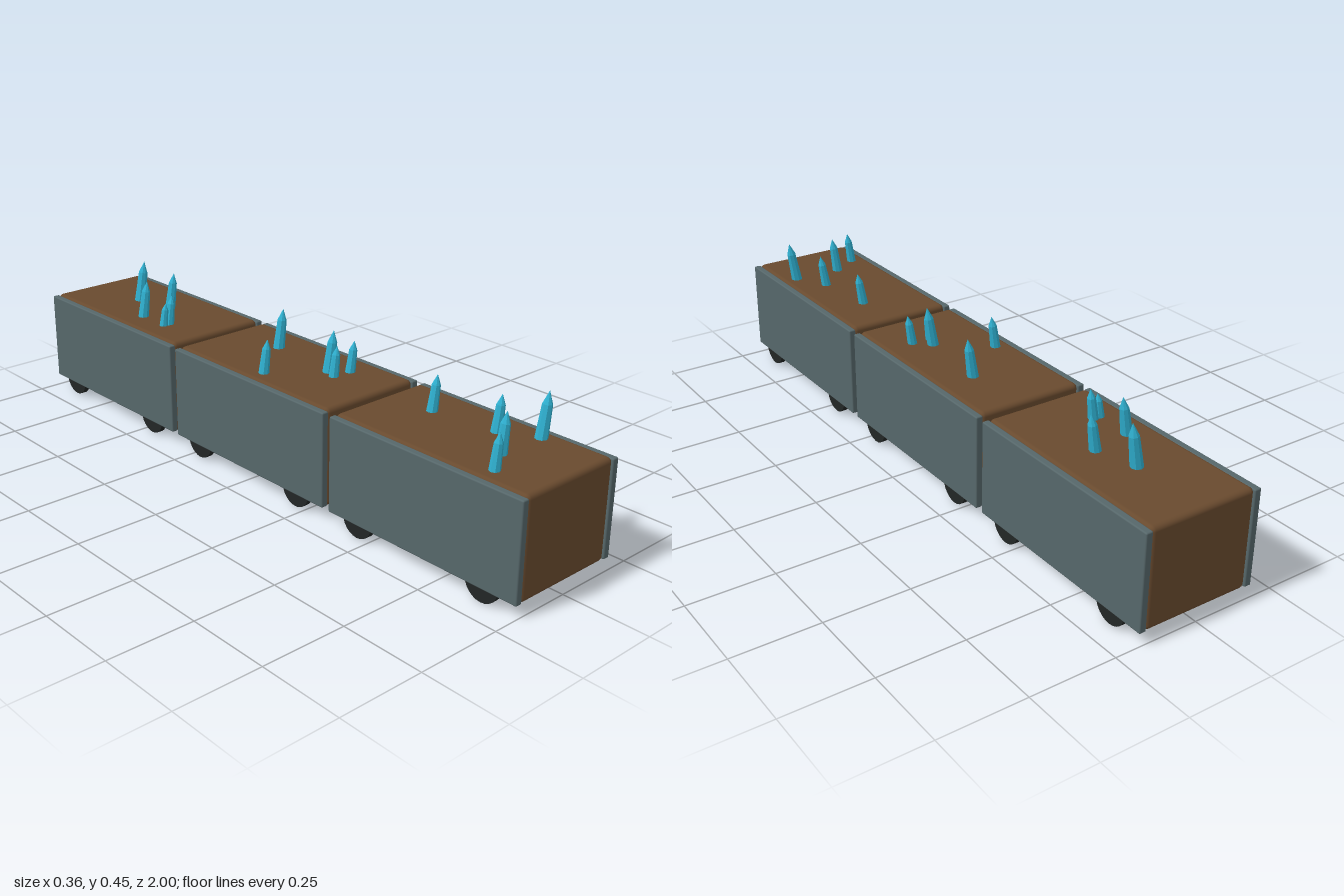
import * as THREE from 'three';
import { RoundedBoxGeometry } from 'three/addons/geometries/RoundedBoxGeometry.js';

const mat = (name, color) => {
  const m = new THREE.MeshStandardMaterial({ color });
  m.name = name;
  return m;
};

export function createModel() {
  const wood = mat('brown body', 0x694a2e);
  const steel = mat('grey panel', 0x56676a);
  const rubber = mat('black wheel', 0x222625);
  const crystalBlue = mat('blue crystal', 0x2fb0d0);
  crystalBlue.flatShading = true;

  const add = (parent, name, geo, material, x, y, z) => {
    const mesh = new THREE.Mesh(geo, material);
    mesh.name = name;
    mesh.position.set(x, y, z);
    parent.add(mesh);
    return mesh;
  };

  const bodyGeo = new RoundedBoxGeometry(0.325, 0.288, 0.645, 2, 0.014);
  const panelGeo = new RoundedBoxGeometry(0.021, 0.279, 0.65, 2, 0.004);
  const wheelGeo = new THREE.CylinderGeometry(0.053, 0.053, 0.018, 24).rotateZ(Math.PI / 2);

  // Per car: crystals as [base x, z, tip x, tip height]
  const cars = [
    { z: 0.675, crystals: [
      [0.04, 0.51, 0.057, 0.42], [0.063, 0.71, 0.08, 0.42], [-0.031, 0.805, -0.016, 0.431],
      [0.118, 0.81, 0.139, 0.444], [-0.113, 0.855, -0.1, 0.417]] },
    { z: 0, crystals: [
      [0.052, -0.12, 0.07, 0.437], [-0.115, 0.008, -0.1, 0.417], [0.028, 0.122, 0.048, 0.44],
      [0.015, 0.158, 0.027, 0.408], [0.074, 0.163, 0.089, 0.41]] },
    { z: -0.675, crystals: [
      [0.005, -0.762, 0.027, 0.447], [0.038, -0.642, 0.057, 0.428], [-0.083, -0.62, -0.064, 0.431],
      [-0.066, -0.506, -0.052, 0.41], [-0.088, -0.506, -0.077, 0.39]] },
  ];

  const model = new THREE.Group();
  model.name = 'crystalWagons';
  cars.forEach(({ z, crystals }, i) => {
    const car = new THREE.Group();
    car.name = `wagon${i + 1}`;
    model.add(car);

    add(car, 'body', bodyGeo, wood, 0, 0.176, z);
    for (const s of [-1, 1]) {
      add(car, s > 0 ? 'leftPanel' : 'rightPanel', panelGeo, steel, s * 0.17, 0.1755, z);
      for (const dz of [-0.215, 0.215]) add(car, 'wheel', wheelGeo, rubber, s * 0.17, 0.053, z + dz);
    }

    // Leaning crystals: tapered shaft with a pointed tip
    for (const [bx, cz, tx, ty] of crystals) {
      const h = Math.hypot(tx - bx, ty - 0.317);
      const r = 0.013 + (ty - 0.39) * 0.09;
      const tip = h * 0.28;
      const profile = [[0, 0], [r, 0], [r * 0.78, h - tip], [0, h]].map(p => new THREE.Vector2(...p));
      const crystal = add(car, 'crystal', new THREE.LatheGeometry(profile, 8), crystalBlue, bx, 0.317, cz);
      crystal.rotation.z = -Math.atan2(tx - bx, ty - 0.317);
    }
  });
  return model;
}
